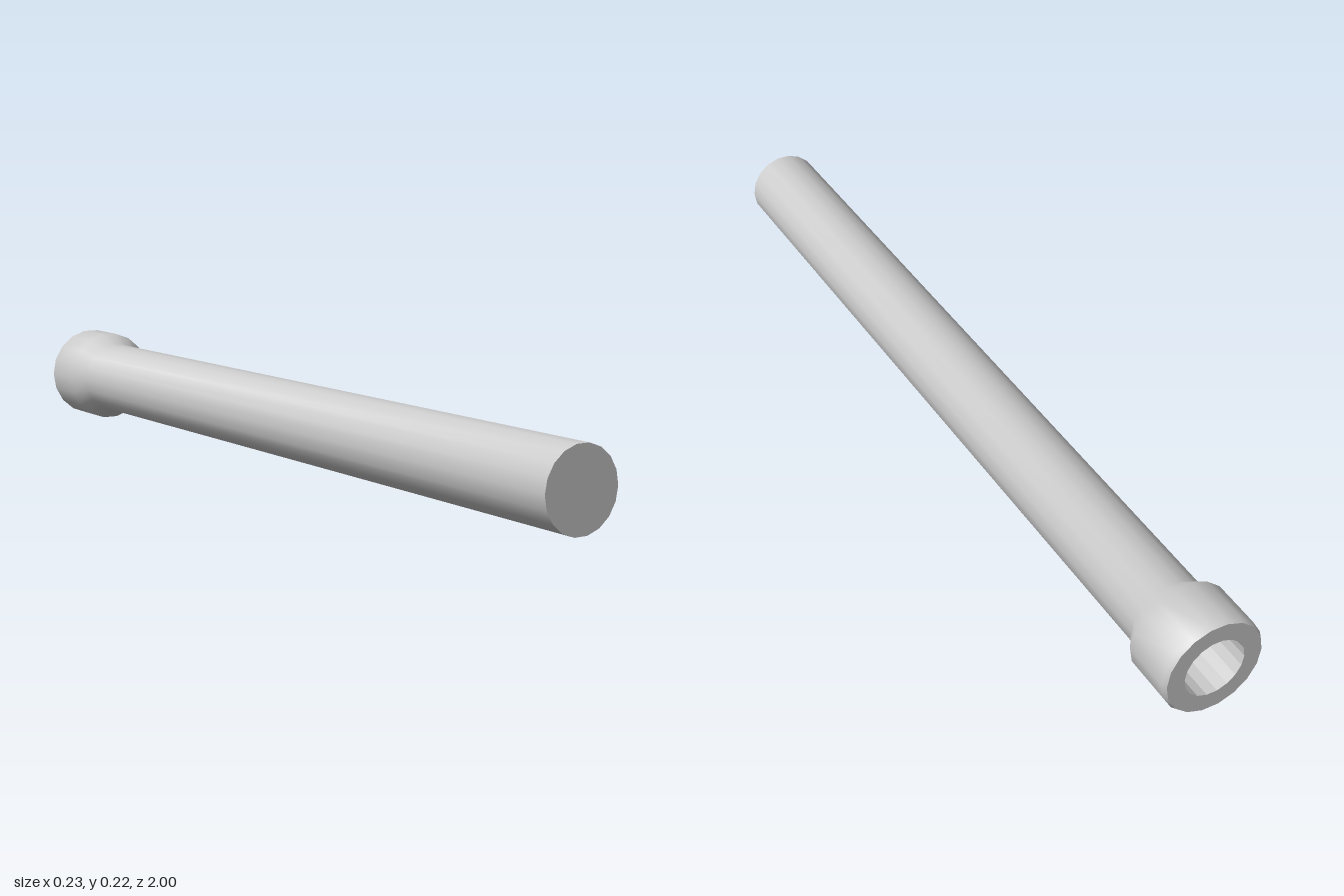
import * as THREE from 'three';
import { toCreasedNormals } from 'three/addons/utils/BufferGeometryUtils.js';

const SIDES = 18;
const AXIS_HEIGHT = 0.112;

// Turns a profile of [radius, z] points around the z axis, with a corner on +x.
function turned(name, profile, flatShading = false) {
  const points = profile.map(([r, z]) => new THREE.Vector2(r, z));
  const lathe = new THREE.LatheGeometry(points, SIDES, Math.PI / 2);
  lathe.rotateX(Math.PI / 2);
  const material = new THREE.MeshStandardMaterial({ color: 0xcccccc, flatShading });
  const mesh = new THREE.Mesh(toCreasedNormals(lathe, 0.7), material);
  mesh.name = name;
  mesh.position.y = AXIS_HEIGHT;
  return mesh;
}

export function createModel() {
  const model = new THREE.Group();
  model.name = 'socketedRod';

  // Rear rim, collar, flare, long shaft and closed front end
  model.add(turned('shaftAndCollar', [
    [0.068, -1], [0.108, -1], [0.113, -0.99], [0.113, -0.88],
    [0.088, -0.845], [0.088, 1], [0, 1],
  ]));

  // Faceted blind hole in the rear end
  model.add(turned('socket', [[0, -0.84], [0.068, -0.84], [0.068, -1]], true));

  return model;
}
